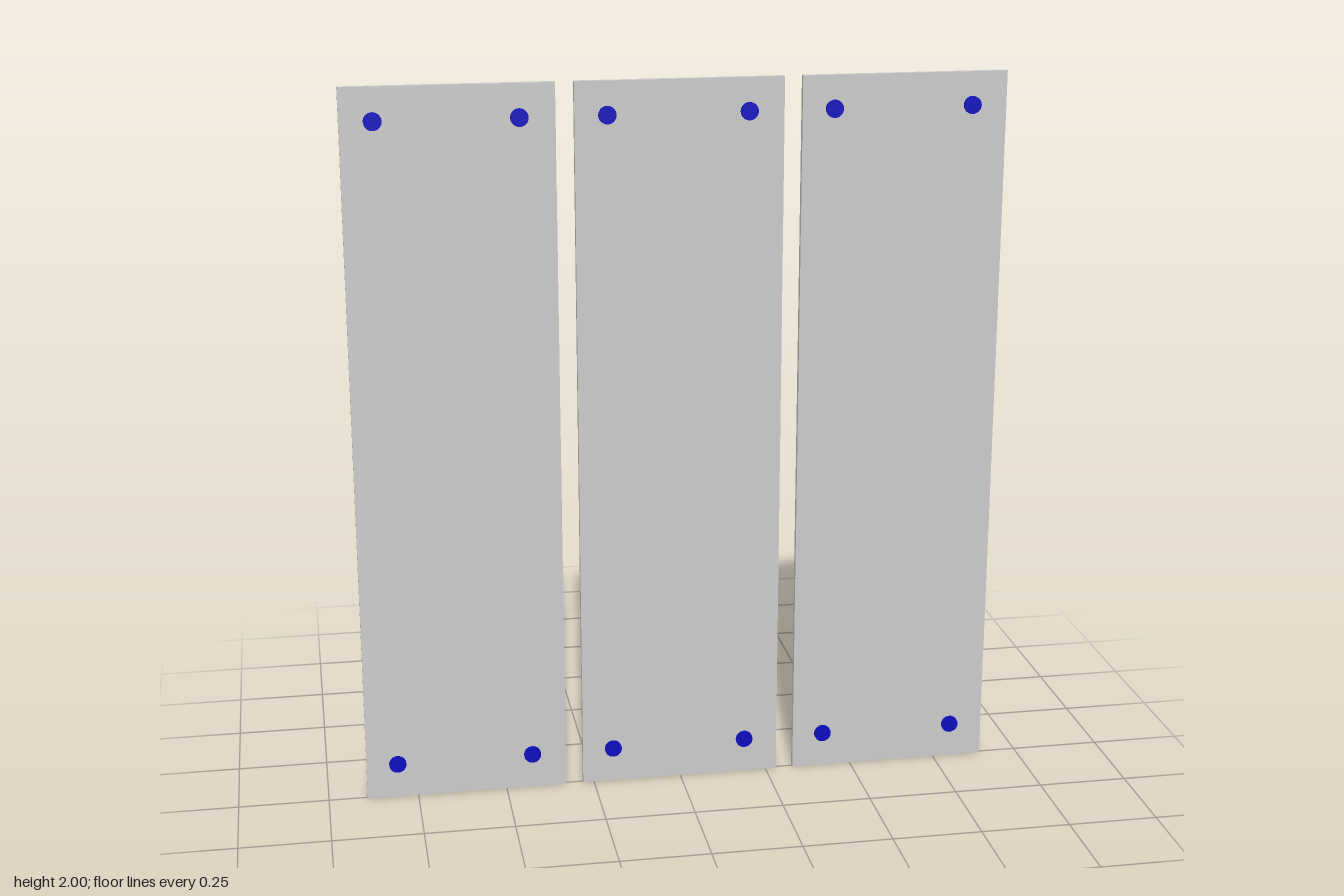
import * as THREE from 'three';

const PANEL = { width: 0.562, height: 2, depth: 0.016, pitch: 0.611 };
const STUD = { radius: 0.024, depth: 0.03, dx: 0.19, low: 0.1, high: 1.91 };

export function createModel() {
  const model = new THREE.Group();
  model.name = 'panelWall';

  const grey = new THREE.MeshStandardMaterial({ color: 0xcccccc });
  const blue = new THREE.MeshStandardMaterial({ color: 0x0c0cc0 });

  const panelGeometry = new THREE.BoxGeometry(PANEL.width, PANEL.height, PANEL.depth);
  const studGeometry = new THREE.CylinderGeometry(STUD.radius, STUD.radius, STUD.depth, 32);
  studGeometry.rotateX(Math.PI / 2);

  // Three upright panels side by side
  ['rightPanel', 'middlePanel', 'leftPanel'].forEach((name, i) => {
    const group = new THREE.Group();
    group.name = name;
    group.position.x = (i - 1) * PANEL.pitch;

    const sheet = new THREE.Mesh(panelGeometry, grey);
    sheet.name = 'sheet';
    sheet.position.y = PANEL.height / 2;
    group.add(sheet);

    // A stud passes through the sheet near each corner
    for (const side of [-1, 1]) {
      for (const y of [STUD.low, STUD.high]) {
        const stud = new THREE.Mesh(studGeometry, blue);
        stud.name = 'stud';
        stud.position.set(side * STUD.dx - 0.004, y, 0);
        group.add(stud);
      }
    }
    model.add(group);
  });

  return model;
}
